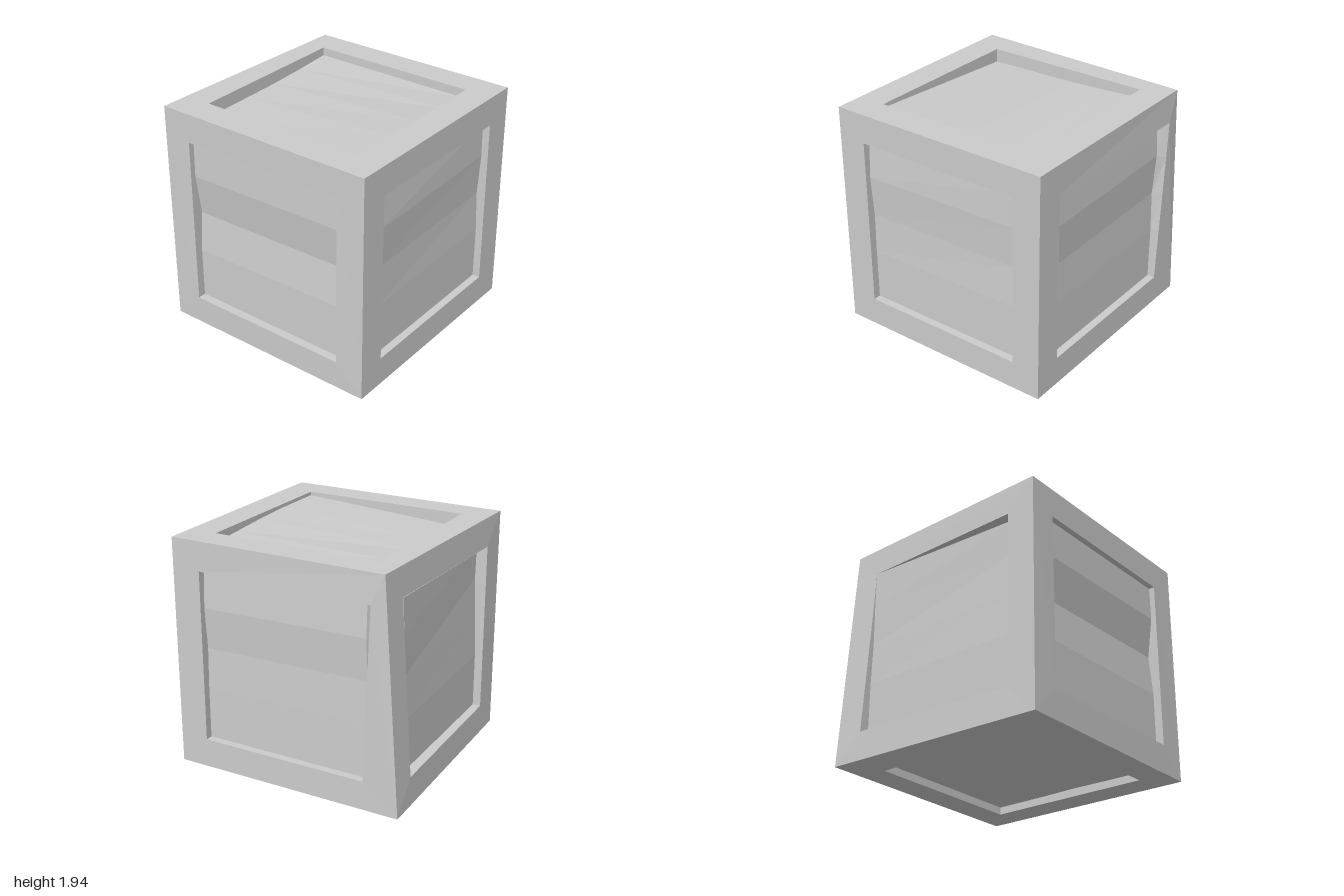
import * as THREE from 'three';

const CENTRE = new THREE.Vector3(0.03, 0.975, 0);
const H = 0.97;   // half size of the crate
const R = 0.725;  // half size of each recess
const ROWS = [-R, -0.275, 0.07, 0.42, R]; // plank joints across a panel
const SIGNS = [[-1, -1], [1, -1], [1, 1], [-1, 1]];

// Each side: outward normal n, axes u and v, and panel depths (bottom to top)
// along its left and right edge. rim nudges the recess corners: [du, dv, dn].
const FACES = [
  { name: 'front', n: [0, 0, 1], u: [1, 0, 0], v: [0, 1, 0],
    left: [0.065, 0.065, 0.095, 0.045, 0.05], right: [0.065, 0.065, 0.095, 0.045, 0.05],
    rim: { 0: [0, 0, 0.005], 1: [0, 0, 0.005] } },
  { name: 'right', n: [1, 0, 0], u: [0, 0, -1], v: [0, 1, 0],
    left: [0.065, 0.065, 0.07, 0.045, 0.065], right: [0.065, 0.065, 0.08, 0.06, 0.065], rim: {} },
  { name: 'back', n: [0, 0, -1], u: [-1, 0, 0], v: [0, 1, 0],
    left: [0.065, 0.065, 0.075, 0.05, 0.065], right: [0.065, 0.065, 0.075, 0.05, 0.065],
    rim: { 2: [0.065, 0, 0.012] } },
  { name: 'left', n: [-1, 0, 0], u: [0, 0, 1], v: [0, 1, 0],
    left: [0.04, 0.04, 0.05, 0.045, 0.045], right: [0.07, 0.07, 0.085, 0.1, 0.095],
    rim: { 0: [0, 0, 0.045], 3: [0, 0, -0.05] } },
  { name: 'top', n: [0, 1, 0], u: [1, 0, 0], v: [0, 0, -1],
    left: [0.115, 0.11, 0.105, 0.09, 0.07], right: [0.03, 0.03, 0.04, 0.06, 0.075], rim: {} },
  { name: 'bottom', n: [0, -1, 0], u: [1, 0, 0], v: [0, 0, 1],
    left: [0.065, 0.065, 0.07, 0.065, 0.065], right: [0.065, 0.065, 0.07, 0.065, 0.065], rim: {} },
];

// Collects quads (counter-clockwise corners) as separate flat triangles
function quad(out, a, b, c, d) {
  for (const p of [a, b, c, a, c, d]) out.push(p.x, p.y, p.z);
}

function makeMesh(name, positions) {
  const geometry = new THREE.BufferGeometry();
  geometry.setAttribute('position', new THREE.Float32BufferAttribute(positions, 3));
  geometry.computeVertexNormals();
  const material = new THREE.MeshStandardMaterial({
    color: 0xcccccc, flatShading: true, side: THREE.DoubleSide });
  const mesh = new THREE.Mesh(geometry, material);
  mesh.name = name;
  return mesh;
}

// The back corner post leans: in at the top, out at the bottom
function lean(p) {
  if (p.x < 0 && p.z < 0) p.x += p.y > 1 ? 0.07 : -0.06;
  return p;
}

function buildSide(face) {
  const [n, u, v] = [face.n, face.u, face.v].map((a) => new THREE.Vector3(...a));
  const at = (a, b, h) => CENTRE.clone()
    .addScaledVector(u, a).addScaledVector(v, b).addScaledVector(n, h);

  const outer = SIGNS.map(([a, b]) => lean(at(a * H, b * H, H)));
  const rim = SIGNS.map(([a, b], i) => {
    const [du, dv, dn] = face.rim[i] || [0, 0, 0];
    return at(a * R + du, b * R + dv, H + dn);
  });

  // Panel edges, with slightly slanted plank joints
  const edge = (depths, side) => ROWS.map((b, i) =>
    at(side * R, b + (i > 0 && i < 4 ? side * 0.013 : 0), H - depths[i]));
  const left = edge(face.left, -1);
  const right = edge(face.right, 1);

  // Flat frame around the recess
  const frame = [];
  for (let i = 0; i < 4; i++) {
    const j = (i + 1) % 4;
    quad(frame, outer[i], outer[j], rim[j], rim[i]);
  }

  // Recess walls and planks
  const panel = [];
  const last = ROWS.length - 1;
  quad(frame, rim[0], rim[1], right[0], left[0]);
  quad(frame, rim[2], rim[3], left[last], right[last]);
  for (let i = 0; i < last; i++) {
    const t0 = (ROWS[i] + R) / (2 * R);
    const t1 = (ROWS[i + 1] + R) / (2 * R);
    const along = (p, q, t) => p.clone().lerp(q, t);
    quad(frame, along(rim[0], rim[3], t0), left[i], left[i + 1], along(rim[0], rim[3], t1));
    quad(frame, along(rim[1], rim[2], t1), right[i + 1], right[i], along(rim[1], rim[2], t0));
    quad(panel, left[i], right[i], right[i + 1], left[i + 1]);
  }

  const group = new THREE.Group();
  group.name = face.name + 'Side';
  group.add(makeMesh(face.name + 'Frame', frame), makeMesh(face.name + 'Panel', panel));
  return group;
}

export function createModel() {
  const crate = new THREE.Group();
  crate.name = 'crate';
  for (const face of FACES) crate.add(buildSide(face));
  // Stand the crate on the ground
  crate.position.y = H - CENTRE.y;
  return crate;
}
